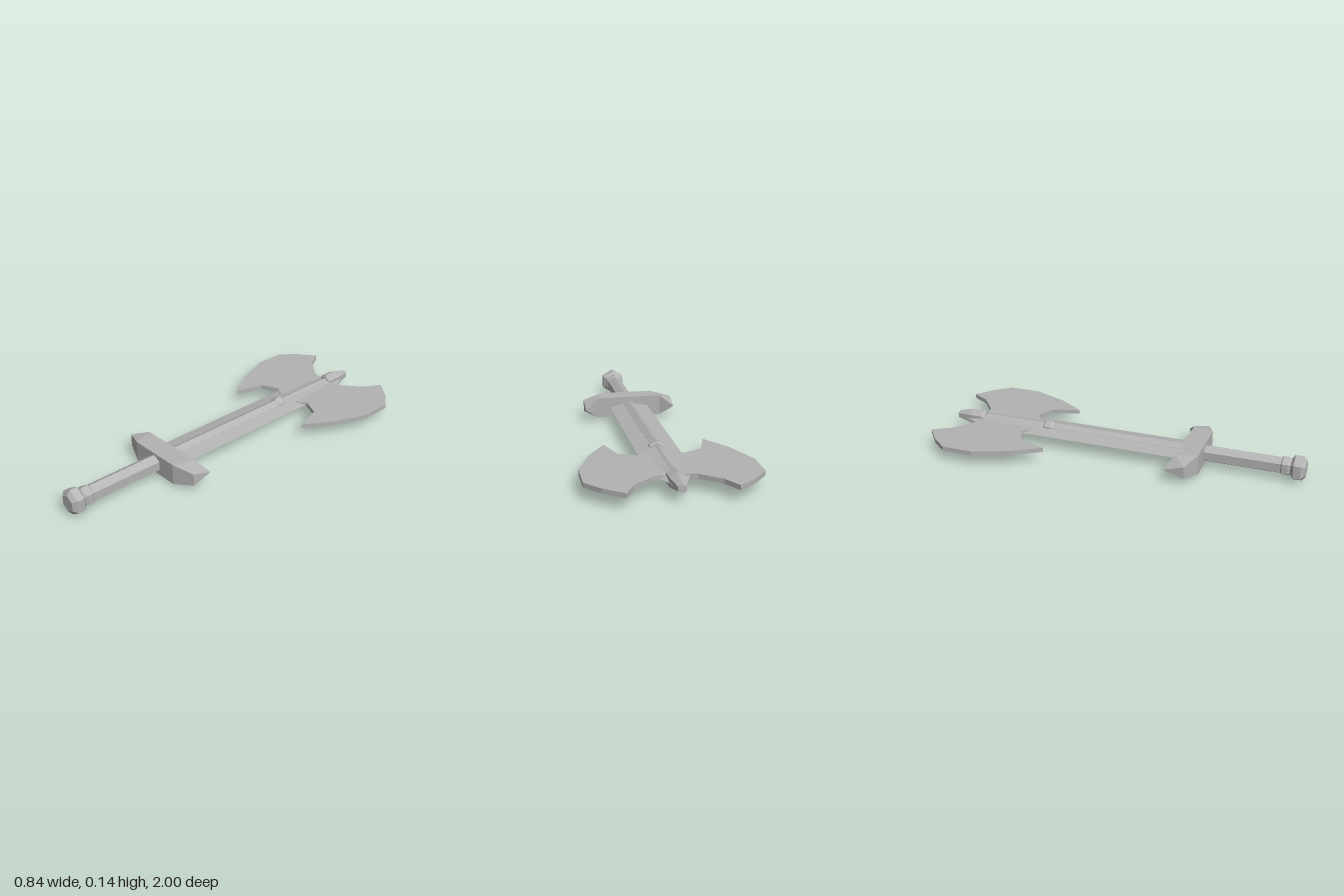
import * as THREE from 'three';
import { ConvexGeometry } from 'three/addons/geometries/ConvexGeometry.js';

const MID = 0.072; // height of the weapon's long axis

export function createModel() {
  const model = new THREE.Group();
  model.name = 'axeSword';
  const steel = new THREE.MeshStandardMaterial({ color: 0xb2b2b2 });
  steel.name = 'grey steel';

  const add = (name, geometry) => {
    const flat = geometry.index ? geometry.toNonIndexed() : geometry;
    flat.computeVertexNormals();
    const mesh = new THREE.Mesh(flat, steel);
    mesh.name = name;
    mesh.position.y = MID;
    model.add(mesh);
  };

  // Six-sided turned part along z; profile holds [z, radius] from back to front
  const hexPart = (name, profile) => {
    const first = profile[0][0], last = profile[profile.length - 1][0];
    const pts = [[first, 0], ...profile, [last, 0]].map(([z, r]) => new THREE.Vector2(r, z));
    add(name, new THREE.LatheGeometry(pts, 6).rotateX(Math.PI / 2));
  };

  // Convex solid, symmetric above and below the mid-plane
  const hull = (name, points) => {
    const pts = [];
    for (const [x, y, z] of points) {
      pts.push(new THREE.Vector3(x, y, z));
      if (y) pts.push(new THREE.Vector3(x, -y, z));
    }
    add(name, new ConvexGeometry(pts));
  };

  // Handle
  hexPart('pommel', [[0.925, 0.048], [0.942, 0.07], [0.98, 0.07], [1.0, 0.046]]);
  hexPart('pommelCollar', [[0.874, 0.045], [0.882, 0.053], [0.912, 0.053], [0.922, 0.045]]);
  hexPart('grip', [[0.46, 0.046], [0.93, 0.046]]);

  // Guard: a block with a swept, pointed tip on each side
  const block = [];
  for (const s of [-1, 1]) block.push([s * 0.145, 0.056, 0.475], [s * 0.18, 0.056, 0.365]);
  hull('guardBlock', block);
  for (const s of [1, -1]) {
    hull(s > 0 ? 'leftGuardTip' : 'rightGuardTip', [
      [s * 0.145, 0.056, 0.475], [s * 0.18, 0.056, 0.365],
      [s * 0.253, 0.033, 0.43], [s * 0.253, 0, 0.32],
    ]);
  }

  // Blade with a diamond cross-section
  const blade = [[0, 0.024, 0.37], [0, 0.024, -0.8], [0, 0, -0.93]];
  for (const s of [-1, 1]) {
    blade.push([s * 0.108, 0, 0.37], [s * 0.108, 0, -0.53], [s * 0.072, 0, -0.815], [s * 0.028, 0, -0.92]);
  }
  hull('blade', blade);

  // Central rib, ring and spike
  hexPart('rib', [[-0.41, 0.036], [0.38, 0.036]]);
  hexPart('upperRib', [[-0.81, 0.028], [-0.41, 0.028]]);
  hexPart('ribRing', [[-0.435, 0.037], [-0.425, 0.046], [-0.39, 0.046], [-0.38, 0.037]]);
  hexPart('spike', [[-0.965, 0.023], [-0.875, 0.046], [-0.808, 0.046], [-0.798, 0.036]]);

  // Double axe head: one half outline, mirrored
  const half = [
    [0.07, -0.815], [0.105, -0.825], [0.205, -0.91], [0.255, -1.0], [0.35, -0.925], [0.421, -0.84],
    [0.421, -0.67], [0.35, -0.485], [0.255, -0.335], [0.205, -0.485], [0.11, -0.528], [0.075, -0.495],
  ];
  const outline = [...half, ...half.map(([x, z]) => [-x, z]).reverse()];
  const shape = new THREE.Shape(outline.map(([x, z]) => new THREE.Vector2(x, z)));
  const head = new THREE.ExtrudeGeometry(shape, { depth: 0.024, bevelEnabled: false });
  add('axeHead', head.translate(0, 0, -0.012).rotateX(Math.PI / 2));

  return model;
}
